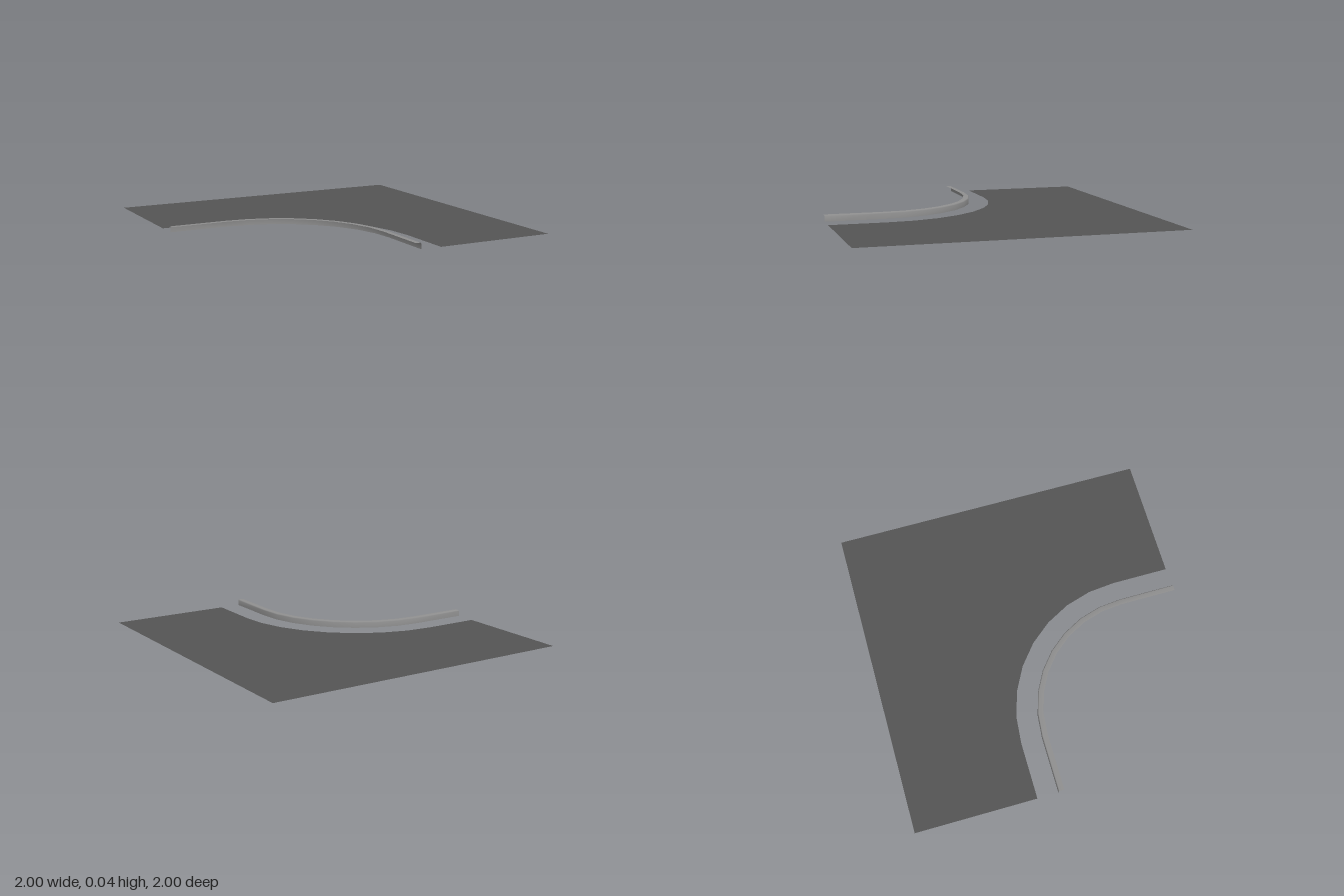
import * as THREE from 'three';

const CENTRE = 0.64; // the bend turns around x = -0.64, z = 0.64
const SEGMENTS = 8;

// Plan line of the bend at a given radius: straight, quarter turn, straight, as [x, z]
function bendLine(radius) {
  const points = [[-1, CENTRE - radius]];
  for (let i = 0; i <= SEGMENTS; i++) {
    const a = (Math.PI / 2) * (1 - i / SEGMENTS);
    points.push([-CENTRE + radius * Math.cos(a), CENTRE - radius * Math.sin(a)]);
  }
  points.push([radius - CENTRE, 1]);
  return points;
}

// Flat road sheet with the curved corner cut away
function roadGeometry() {
  const outline = [...bendLine(0.87), [1, 1], [1, -1], [-1, -1]];
  const shape = new THREE.Shape(outline.map(([x, z]) => new THREE.Vector2(x, -z)));
  return new THREE.ShapeGeometry(shape).rotateX(-Math.PI / 2);
}

// Open kerb strip: road-side wall, small bevel and top, swept along the bend
function kerbGeometry() {
  const profile = [[0.737, 0], [0.737, 0.033], [0.731, 0.039], [0.7, 0.039]]; // radius, height
  const lines = profile.map(([r]) => bendLine(r));
  const n = profile.length;
  const count = lines[0].length;
  const positions = [];
  const indices = [];
  for (let i = 0; i < count; i++) {
    for (let j = 0; j < n; j++) {
      const [x, z] = lines[j][i];
      positions.push(x, profile[j][1], z);
      if (i < count - 1 && j < n - 1) {
        const a = i * n + j;
        indices.push(a, a + 1, a + n, a + 1, a + n + 1, a + n);
      }
    }
  }
  const geometry = new THREE.BufferGeometry();
  geometry.setAttribute('position', new THREE.Float32BufferAttribute(positions, 3));
  geometry.setIndex(indices);
  geometry.computeVertexNormals();
  return geometry;
}

export function createModel() {
  const asphalt = new THREE.MeshStandardMaterial({ color: 0x555555, side: THREE.DoubleSide });
  asphalt.name = 'asphalt';
  const concrete = new THREE.MeshStandardMaterial({ color: 0x909090, side: THREE.DoubleSide });
  concrete.name = 'concrete';

  const road = new THREE.Mesh(roadGeometry(), asphalt);
  road.name = 'road';
  const kerb = new THREE.Mesh(kerbGeometry(), concrete);
  kerb.name = 'kerb';

  const group = new THREE.Group();
  group.name = 'roadBend';
  group.add(road, kerb);
  return group;
}
